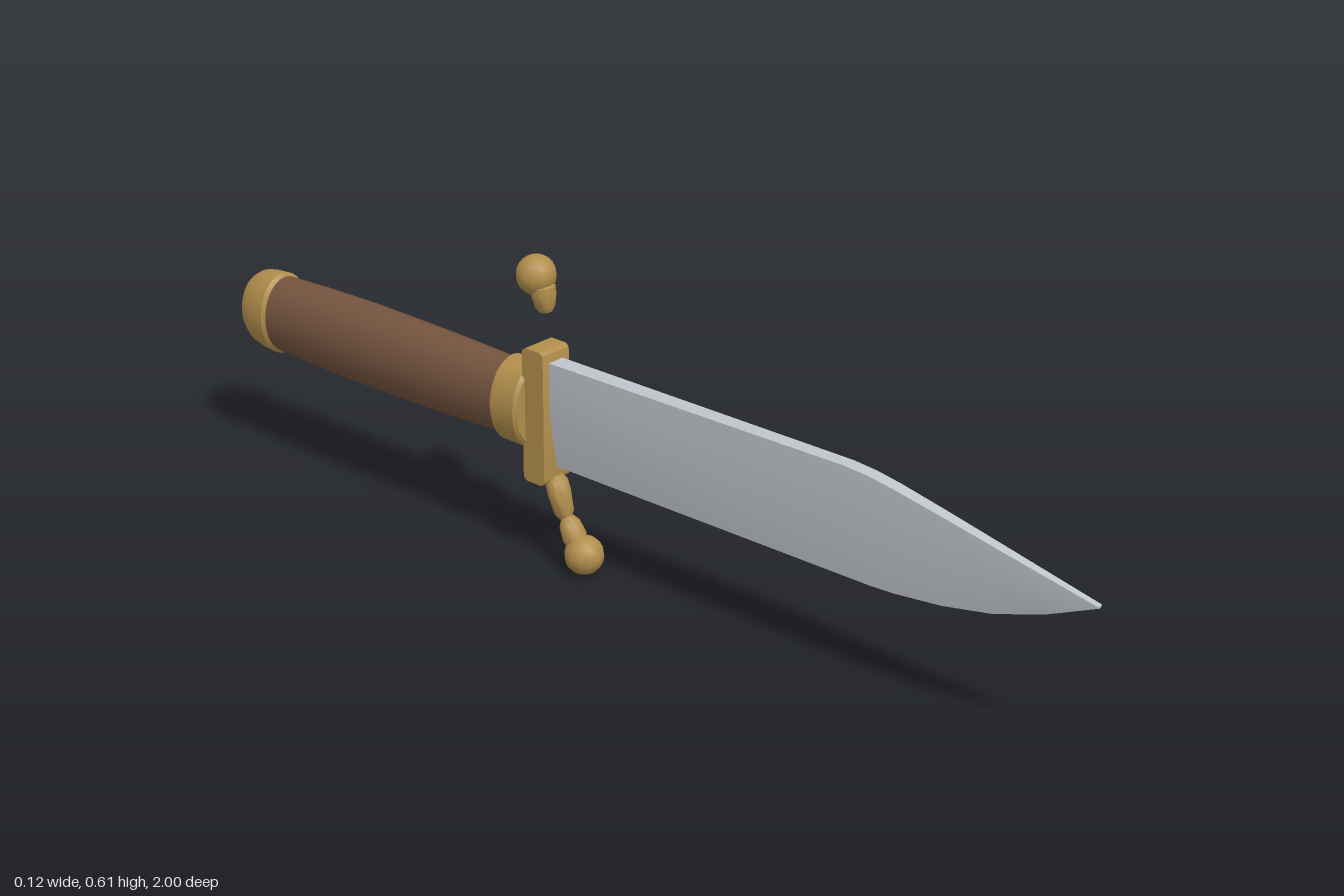
import * as THREE from 'three';
import { toCreasedNormals } from 'three/addons/utils/BufferGeometryUtils.js';

const mat = (name, color) => {
  const m = new THREE.MeshStandardMaterial({ color });
  m.name = name;
  return m;
};

const AXIS_Y = 0.311; // height of the grip axis

export function createModel() {
  const group = new THREE.Group();
  const steel = mat('steel', 0xc0c4cb);
  const brass = mat('brass', 0xb28e4c);
  const wood = mat('brown grip', 0x75543f);

  const add = (name, geometry, material) => {
    const mesh = new THREE.Mesh(geometry, material);
    mesh.name = name;
    group.add(mesh);
    return mesh;
  };
  const profile = pts => pts.map(([r, d]) => new THREE.Vector2(r, d));

  // Oval solid turned along the grip: [vertical radius, distance behind centre]
  const ovalTurned = (name, pts, material) => {
    const g = new THREE.LatheGeometry(profile(pts), 28);
    g.rotateX(-Math.PI / 2);
    g.scale(0.735, 1, 1);
    g.translate(0, AXIS_Y, 0);
    add(name, toCreasedNormals(g, 0.5), material);
  };

  // Blade: five-sided sections [z, spine y, edge y, half width]
  const sections = [
    [-0.18, 0.413, 0.2, 0.0185], [0.2, 0.413, 0.2, 0.0162], [0.5, 0.413, 0.2, 0.0143],
    [0.55, 0.409, 0.2, 0.0138], [0.6, 0.401, 0.202, 0.0132], [0.7, 0.381, 0.213, 0.0116],
    [0.8, 0.36, 0.233, 0.0099], [0.9, 0.339, 0.267, 0.008], [1, 0.318, 0.313, 0.006],
  ];
  const verts = [], index = [];
  for (const [z, top, bottom, w] of sections) {
    const ridge = bottom + (top - bottom) * 0.52;
    verts.push(-w, top, z, w, top, z, w, ridge, z, 0, bottom, z, -w, ridge, z);
  }
  for (let i = 0; i < sections.length - 1; i++) {
    for (let j = 0; j < 5; j++) {
      const a = i * 5 + j, b = i * 5 + (j + 1) % 5;
      index.push(a, a + 5, b, b, a + 5, b + 5);
    }
  }
  const last = (sections.length - 1) * 5;
  for (let j = 1; j < 4; j++) {
    index.push(0, j, j + 1); // back end
    index.push(last, last + j + 1, last + j); // tip
  }
  const bladeGeo = new THREE.BufferGeometry();
  bladeGeo.setAttribute('position', new THREE.Float32BufferAttribute(verts, 3));
  bladeGeo.setIndex(index);
  add('blade', toCreasedNormals(bladeGeo, 0.3), steel);

  // Guard: rounded side outline drawn in z and y, extruded across x
  const z0 = -0.221, z1 = -0.169, y0 = 0.17, y1 = 0.436, r = 0.011;
  const outline = new THREE.Shape();
  outline.moveTo(z0 + r, y0);
  outline.absarc(z1 - r, y0 + r, r, -Math.PI / 2, 0);
  outline.absarc(z1 - r, y1 - r, r, 0, Math.PI / 2);
  outline.absarc(z0 + r, y1 - r, r, Math.PI / 2, Math.PI);
  outline.absarc(z0 + r, y0 + r, r, Math.PI, Math.PI * 1.5);
  const guardGeo = new THREE.ExtrudeGeometry(outline, { depth: 0.07, bevelEnabled: false, curveSegments: 4 });
  guardGeo.rotateY(-Math.PI / 2);
  guardGeo.translate(0.035, 0, 0);
  add('guard', toCreasedNormals(guardGeo, 0.5), brass);

  // Collar, grip and pommel
  ovalTurned('collar', [[0, 0.215], [0.078, 0.215], [0.085, 0.222], [0.085, 0.278], [0.077, 0.285], [0, 0.285]], brass);
  ovalTurned('grip', [[0.075, 0.28], [0.078, 0.36], [0.081, 0.46], [0.083, 0.58], [0.084, 0.68], [0.082, 0.8], [0.078, 0.91]], wood);
  ovalTurned('pommel', [[0, 0.902], [0.079, 0.902], [0.085, 0.91], [0.083, 0.94], [0.077, 0.966], [0.066, 0.982], [0.035, 0.994], [0, 1]], brass);

  // Barrel-shaped links between two [y, z] points; radii run from start to end
  const link = (name, from, to, radii) => {
    const a = new THREE.Vector3(0, ...from), b = new THREE.Vector3(0, ...to);
    const dir = b.clone().sub(a), length = dir.length();
    const pts = [[0, 0], ...radii.map(([rad, t]) => [rad, t * length]), [0, length]];
    const mesh = add(name, toCreasedNormals(new THREE.LatheGeometry(profile(pts), 12), 0.7), brass);
    mesh.position.copy(a);
    mesh.quaternion.setFromUnitVectors(new THREE.Vector3(0, 1, 0), dir.normalize());
  };
  link('upperLink', [0.503, -0.192], [0.555, -0.2], [[0.012, 0], [0.019, 0.2], [0.024, 0.65], [0.024, 0.9], [0.018, 1]]);
  link('lowerLink', [0.102, -0.148], [0.181, -0.174], [[0.012, 0], [0.019, 0.14], [0.023, 0.6], [0.022, 0.85], [0.015, 1]]);
  link('lowerSmallLink', [0.055, -0.118], [0.105, -0.145], [[0.02, 0], [0.024, 0.3], [0.021, 0.75], [0.012, 1]]);

  // Ball finials
  for (const [name, y, z] of [['upperBall', 0.569, -0.215], ['lowerBall', 0.04, -0.102]]) {
    add(name, new THREE.SphereGeometry(0.038, 12, 10), brass).position.set(0, y, z);
  }

  return group;
}
